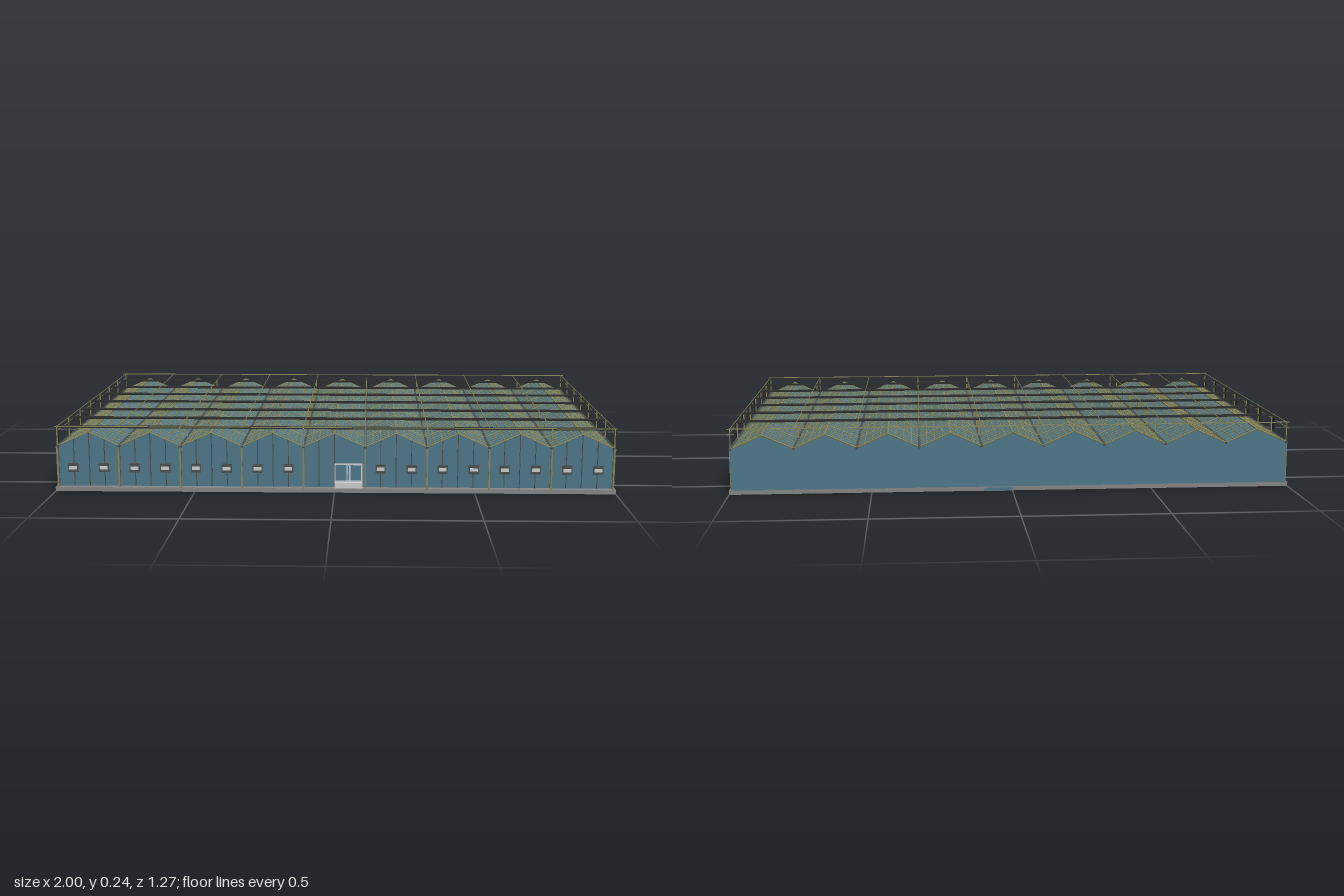
import * as THREE from 'three';
import { mergeGeometries } from 'three/addons/utils/BufferGeometryUtils.js';

const BAYS = 9, HALF = 0.99, PITCH = (2 * HALF) / BAYS;
const EAVE = 0.162, RIDGE = 0.211, BASE = 0.015;
const FRONT = 0.61, BACK = -0.635, LINE = 0.63;

const mat = (color) => new THREE.MeshStandardMaterial({ color, flatShading: true, side: THREE.DoubleSide });

// axis-aligned box given by its limits
function box(x0, x1, y0, y1, z0, z1) {
  return new THREE.BoxGeometry(x1 - x0, y1 - y0, z1 - z0)
    .translate((x0 + x1) / 2, (y0 + y1) / 2, (z0 + z1) / 2);
}

// square bar between two points
function bar(a, b, w) {
  const p = new THREE.Vector3(...a), q = new THREE.Vector3(...b);
  const d = q.clone().sub(p);
  const g = new THREE.BoxGeometry(w, w, d.length());
  g.applyQuaternion(new THREE.Quaternion().setFromUnitVectors(new THREE.Vector3(0, 0, 1), d.normalize()));
  return g.translate((p.x + q.x) / 2, (p.y + q.y) / 2, (p.z + q.z) / 2);
}

// height of the sawtooth roof at x
function roofY(x) {
  const t = (((x + HALF) / PITCH) % 1 + 1) % 1;
  return EAVE + (RIDGE - EAVE) * (1 - Math.abs(2 * t - 1));
}

// zigzag roof line from left to right
function roofLine(dy = 0) {
  const pts = [];
  for (let i = 0; i <= BAYS * 2; i++)
    pts.push(new THREE.Vector2(-HALF + (i * PITCH) / 2, (i % 2 ? RIDGE : EAVE) + dy));
  return pts;
}

function extrude(points, z0, z1) {
  return new THREE.ExtrudeGeometry(new THREE.Shape(points), { depth: z1 - z0, bevelEnabled: false })
    .translate(0, 0, z0);
}

export function createModel() {
  const group = new THREE.Group();
  const glass = mat(0x4f7688), frame = mat(0x85855a), dark = mat(0x2c2c2c);
  const steel = mat(0x4a4f4c), grey = mat(0xcccccc), curb = mat(0x858585);
  const add = (name, geos, material) => {
    const mesh = new THREE.Mesh(mergeGeometries(geos), material);
    mesh.name = name;
    group.add(mesh);
  };

  // concrete curb around an open floor
  add('curb', [
    box(-1, 1, 0, BASE, 0.605, 0.635), box(-1, 1, 0, BASE, -0.635, -0.618),
    box(-1, -0.982, 0, BASE, -0.618, 0.605), box(0.982, 1, 0, BASE, -0.618, 0.605),
  ], curb);

  // glass walls and roof
  const gable = [new THREE.Vector2(-HALF, 0.005), ...roofLine(), new THREE.Vector2(HALF, 0.005)];
  add('gableWalls', [extrude(gable, FRONT - 0.003, FRONT), extrude(gable, BACK, BACK + 0.003)], glass);
  add('sideWalls', [-1, 1].map((s) =>
    box(s * HALF - 0.0015, s * HALF + 0.0015, BASE, EAVE, BACK, FRONT)), glass);
  add('roof', [extrude([...roofLine(), ...roofLine(-0.003).reverse()], BACK, FRONT)], glass);

  // roof: valley gutters, ridges, purlins and sloping glazing bars
  const gutters = [], purlins = [], glazing = [];
  for (let i = 0; i <= BAYS; i++) {
    const x = -HALF + i * PITCH;
    gutters.push(box(x - 0.004, x + 0.004, EAVE - 0.004, EAVE + 0.004, -0.64, 0.632));
    if (i === BAYS) break;
    for (let k = 1; k < 8; k++) {
      const px = x + (k * PITCH) / 8;
      purlins.push(bar([px, roofY(px) + 0.001, BACK], [px, roofY(px) + 0.001, FRONT], k === 4 ? 0.005 : 0.0025));
    }
    for (let j = 0; j <= 35; j++) {
      const z = BACK + ((FRONT - BACK) * j) / 35, w = j % 5 ? 0.002 : 0.004;
      for (const e of [0, PITCH])
        glazing.push(bar([x + e, EAVE + 0.001, z], [x + PITCH / 2, RIDGE + 0.001, z], w));
    }
  }
  add('gutters', gutters, steel);
  add('purlins', purlins, frame);
  add('glazingBars', glazing, frame);

  // side wall mullions and rails
  const side = [];
  for (const s of [-1, 1]) {
    const x = s * 0.993;
    for (let j = 0; j <= 21; j++) {
      const z = BACK + 0.004 + ((FRONT - BACK - 0.008) * j) / 21;
      side.push(bar([x, BASE, z], [x, EAVE, z], 0.003));
    }
    for (const y of [0.053, 0.16]) side.push(bar([x, y, BACK], [x, y, LINE], y > 0.1 ? 0.005 : 0.0025));
  }
  add('sideFrame', side, frame);

  // front wall mullions, and a row of posts standing just ahead of it
  const mullions = [], posts = [];
  for (let i = 0; i <= BAYS * 4; i++) {
    const x = -HALF + (i * PITCH) / 4;
    if (x > 0.01 && x < 0.09) continue;
    mullions.push(bar([x, BASE, FRONT + 0.002], [x, roofY(x), FRONT + 0.002], 0.003));
    if (i % 4 === 0) posts.push(bar([x, BASE, LINE], [x, EAVE, LINE], 0.006));
  }
  add('frontMullions', mullions, steel);
  add('frontPosts', posts, frame);

  // small vents along the front
  const vents = [], louvres = [];
  for (let k = 0; k < 8; k++) for (const s of [-1, 1]) {
    const x = s * (0.165 + k * 0.1105);
    vents.push(box(x - 0.018, x + 0.018, 0.066, 0.098, FRONT, FRONT + 0.006));
    louvres.push(box(x - 0.014, x + 0.014, 0.076, 0.088, FRONT, FRONT + 0.009));
  }
  add('ventFrames', vents, steel);
  add('ventLouvres', louvres, grey);

  // double door with pale lower panels
  add('doorPanels', [box(0, 0.1, 0.006, 0.036, FRONT, 0.634)], grey);
  const doorBars = [0.002, 0.045, 0.055, 0.098].map((x) => bar([x, 0.01, 0.618], [x, 0.1, 0.618], 0.005));
  for (const y of [0.038, 0.1]) doorBars.push(bar([0, y, 0.618], [0.1, y, 0.618], 0.005));
  add('doorFrame', doorBars, grey);
  add('rearSill', [box(0, 0.1, 0, 0.012, -0.64, -0.61)], glass);

  // folded shade screens: strips above the ridges with drops at both ends
  const screens = [], supports = [];
  for (let j = 0; j < 7; j++) {
    const z = 0.608 - j * 0.178;
    screens.push(box(-0.998, 0.998, 0.228, 0.233, z - 0.013, z + 0.013));
    for (const s of [-1, 1]) {
      screens.push(box(s * 0.995 - 0.003, s * 0.995 + 0.003, 0.175, 0.233, z - 0.013, z + 0.013));
    }
    for (let i = 0; i <= BAYS; i++) {
      const x = -HALF + i * PITCH;
      if (i % 2 === 0 || i === 5 || i === BAYS)
        supports.push(bar([x, EAVE, z + 0.016], [x, 0.234, z + 0.016], 0.004));
    }
  }
  add('shadeScreens', screens, dark);
  add('screenPosts', supports, frame);

  // tension wires over the roof
  const wires = [];
  for (let i = 0; i <= BAYS; i++) {
    const x = -HALF + i * PITCH;
    wires.push(bar([x, 0.234, -0.63], [x, 0.234, 0.622], 0.002));
  }
  for (const s of [-1, 1]) {
    wires.push(bar([s * 0.997, 0.212, -0.63], [s * 0.997, 0.212, 0.62], 0.002));
    wires.push(bar([s * HALF, EAVE, -0.63], [s * HALF, 0.234, -0.63], 0.003));
  }
  for (const z of [-0.63, 0.622]) wires.push(bar([-1, 0.234, z], [1, 0.234, z], 0.003));
  add('screenWires', wires, frame);

  return group;
}
